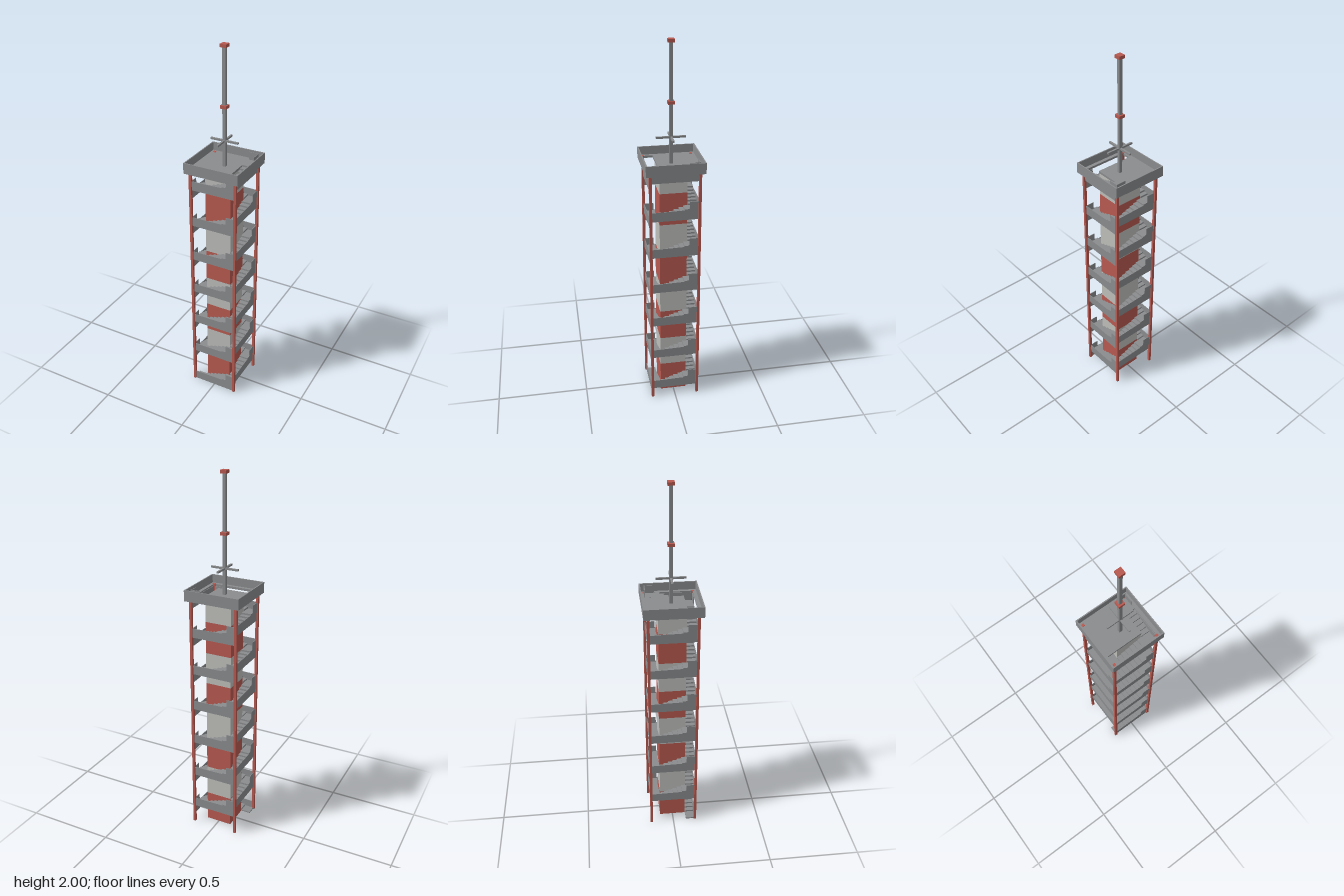
import * as THREE from 'three';

export function createModel() {
  const tower = new THREE.Group();
  tower.name = 'stairTower';

  const mat = (name, color, side = THREE.FrontSide) => {
    const m = new THREE.MeshStandardMaterial({ color, side });
    m.name = name;
    return m;
  };
  const red = mat('red', 0xb85a50);
  const pale = mat('paleGrey', 0xbebebb);
  const grey = mat('grey', 0x8a8c8e);

  const add = (parent, name, geo, material, x = 0, y = 0, z = 0) => {
    const m = new THREE.Mesh(geo, material);
    m.name = name;
    m.position.set(x, y, z);
    parent.add(m);
    return m;
  };
  // Box given by its bottom height
  const box = (parent, name, w, h, d, material, x, y, z) =>
    add(parent, name, new THREE.BoxGeometry(w, h, d), material, x, y + h / 2, z);

  const CORE = 0.075;      // half width of the core
  const OUT = 0.128;       // outer edge of the stairs
  const RISE = 0.0525;     // height gained on each side
  const STEPS = 6;
  const FLIGHTS = 26;
  const FLOOR = FLIGHTS * RISE;
  const MID = (CORE + OUT) / 2;
  const WIDE = OUT - CORE;
  const THICK = 0.007;

  // Core in alternating bands
  const band = 0.176;
  for (let i = 0; i < 8; i++) {
    const h = Math.min(band, FLOOR - i * band);
    box(tower, 'coreBand', CORE * 2 - 0.004, h, CORE * 2 - 0.004, i % 2 ? pale : red, 0, i * band, 0);
  }

  // Side panel of a flight, stepped up at the upper landing
  const panel = (points) => new THREE.ExtrudeGeometry(
    new THREE.Shape(points.map(([x, y]) => new THREE.Vector2(x, y))),
    { depth: 0.003, bevelEnabled: false });
  const railGeo = panel([
    [-OUT, 0], [OUT, 0], [OUT, 0.1], [CORE, 0.1],
    [CORE, 0.063], [0.05, 0.054], [-OUT, 0.05],
  ]);
  const landingGeo = new THREE.BoxGeometry(WIDE, THICK, WIDE);
  const going = 2 * CORE / STEPS;
  const stepGeo = new THREE.BoxGeometry(going, THICK + RISE / STEPS, WIDE);

  // Flights climb round the four sides in turn
  for (let k = 0; k <= FLIGHTS; k++) {
    const flight = new THREE.Group();
    flight.name = 'flight';
    flight.position.y = k * RISE;
    flight.rotation.y = k * Math.PI / 2;
    tower.add(flight);
    add(flight, 'landing', landingGeo, grey, -MID, THICK / 2, MID);
    if (k === FLIGHTS) {
      box(flight, 'landingRail', WIDE, 0.05, 0.003, grey, -MID, 0, OUT - 0.0015);
      break;
    }
    add(flight, 'rail', railGeo, grey, 0, 0, OUT - 0.003);
    for (let i = 0; i < STEPS; i++) {
      const top = THICK + (i + 1) * RISE / STEPS;
      add(flight, 'step', stepGeo, grey,
        -CORE + (i + 0.5) * going, top - (THICK + RISE / STEPS) / 2, MID);
    }
  }

  // Corner posts
  for (const x of [-1, 1]) for (const z of [-1, 1])
    box(tower, 'cornerPost', 0.014, FLOOR + 0.008, 0.014, red, x * OUT, 0, z * OUT);

  // Platform floor with the stair opening
  const half = 0.153;
  const slab = new THREE.Shape([
    [-half, -half], [half, -half], [half, half], [-half, half],
  ].map(([x, y]) => new THREE.Vector2(x, y)));
  slab.holes.push(new THREE.Path([
    [-OUT, -OUT], [-OUT, -CORE], [CORE, -CORE], [CORE, 0.05], [OUT, 0.05], [OUT, -OUT],
  ].map(([x, y]) => new THREE.Vector2(x, y))));
  const slabGeo = new THREE.ExtrudeGeometry(slab, { depth: 0.012, bevelEnabled: false });
  slabGeo.rotateX(-Math.PI / 2);
  add(tower, 'platformFloor', slabGeo, grey, 0, FLOOR + THICK - 0.0125, 0);

  // Parapet
  for (const s of [-1, 1]) {
    box(tower, 'parapet', half * 2, 0.058, 0.006, grey, 0, 1.358, s * (half - 0.003));
    box(tower, 'parapet', 0.006, 0.058, half * 2 - 0.012, grey, s * (half - 0.003), 1.358, 0);
  }

  // Mast with cross arms and collars
  box(tower, 'mast', 0.017, 1.99 - FLOOR, 0.017, grey, 0, FLOOR, 0);
  box(tower, 'crossArm', 0.154, 0.01, 0.01, grey, 0, 1.505, 0);
  box(tower, 'crossArm', 0.01, 0.01, 0.154, grey, 0, 1.505, 0);
  box(tower, 'mastCollar', 0.034, 0.016, 0.034, red, 0, 1.682, 0);
  box(tower, 'mastCap', 0.034, 0.016, 0.034, red, 0, 1.984, 0);

  return tower;
}
